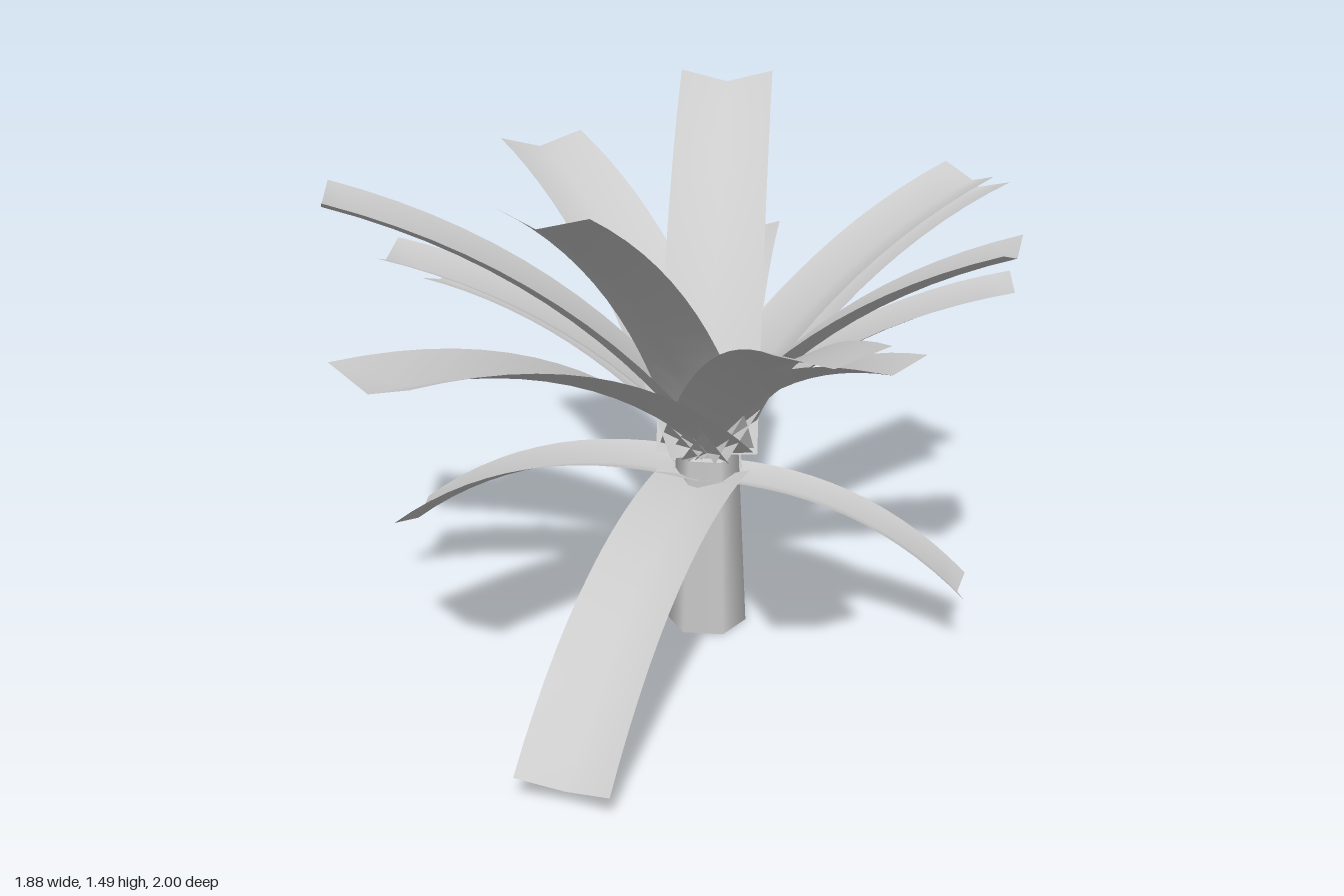
import * as THREE from 'three';

const material = new THREE.MeshStandardMaterial({ color: 0xcccccc, side: THREE.DoubleSide });
const CENTER = [0.083, -0.063]; // x, z of the trunk axis

// Tip positions [x, y, z] of the leaves
const UPPER_TIPS = [
  [0.06, 1.49, -0.935], [0.12, 0.99, -0.995], [-0.54, 1.28, -0.90], [0.85, 1.215, -0.73],
  [0.805, 1.285, -0.475], [0.91, 1.065, -0.06], [0.88, 1.225, 0.175], [0.575, 1.04, 0.59],
  [0.44, 1.165, 0.90], [-0.235, 1.405, 0.70], [-0.595, 1.07, 0.905], [-0.905, 1.325, 0.195],
  [-0.815, 1.115, -0.04], [-0.735, 0.985, -0.30],
];
const LOWER_TIPS = [
  [0.0, 0.08, -0.885], [-0.17, 0.07, 0.97], [-0.865, 0.205, -0.29], [0.83, 0.17, -0.01],
];

// Arched leaf: a shallow V section swept along a bowed path; its midrib starts on the trunk axis
function makeLeaf(baseY, bow, tipArray) {
  const base = new THREE.Vector3(CENTER[0], baseY, CENTER[1]);
  const tip = new THREE.Vector3(...tipArray);
  const chord = tip.clone().sub(base);
  const length = chord.length();
  const width = length * 0.222;
  const depth = width * 0.15;
  const side = new THREE.Vector3(chord.z, 0, -chord.x).normalize();
  const up = new THREE.Vector3().crossVectors(chord, side).normalize();
  const control = base.clone().add(tip).multiplyScalar(0.5).addScaledVector(up, length * bow);
  const rise = new THREE.Vector3().crossVectors(control.clone().sub(base), side).normalize();
  base.addScaledVector(rise, depth);
  const path = new THREE.QuadraticBezierCurve3(base, control, tip);

  const steps = 14;
  const positions = [];
  const index = [];
  for (let i = 0; i <= steps; i++) {
    const t = i / steps;
    const point = path.getPoint(t);
    const normal = new THREE.Vector3().crossVectors(path.getTangent(t), side).normalize();
    for (let j = -1; j <= 1; j++) {
      const v = point.clone().addScaledVector(side, j * width / 2);
      if (j === 0) v.addScaledVector(normal, -depth);
      positions.push(v.x, v.y, v.z);
    }
    if (i === steps) continue;
    for (let j = 0; j < 2; j++) {
      const a = i * 3 + j;
      index.push(a, a + 3, a + 1, a + 1, a + 3, a + 4);
    }
  }
  const geometry = new THREE.BufferGeometry();
  geometry.setAttribute('position', new THREE.Float32BufferAttribute(positions, 3));
  geometry.setIndex(index);
  geometry.computeVertexNormals();
  return new THREE.Mesh(geometry, material);
}

function makeCrown(name, leafName, baseY, bow, tips) {
  const crown = new THREE.Group();
  crown.name = name;
  tips.forEach((tip, i) => {
    const leaf = makeLeaf(baseY, bow, tip);
    leaf.name = leafName + (i + 1);
    crown.add(leaf);
  });
  return crown;
}

export function createModel() {
  const model = new THREE.Group();
  model.name = 'palmPlant';

  // Six-sided tapering trunk, open at the ends
  const height = 0.53;
  const trunkGeometry = new THREE.CylinderGeometry(0.09, 0.117, height, 6, 1, true);
  trunkGeometry.rotateY(Math.PI / 6);
  trunkGeometry.translate(CENTER[0], height / 2, CENTER[1]);
  const trunk = new THREE.Mesh(trunkGeometry, material);
  trunk.name = 'trunk';
  model.add(trunk);

  // Rising leaves and the drooping leaves below them
  model.add(makeCrown('upperCrown', 'risingLeaf', 0.527, 0.19, UPPER_TIPS));
  model.add(makeCrown('lowerCrown', 'droopingLeaf', 0.452, 0.23, LOWER_TIPS));
  return model;
}
